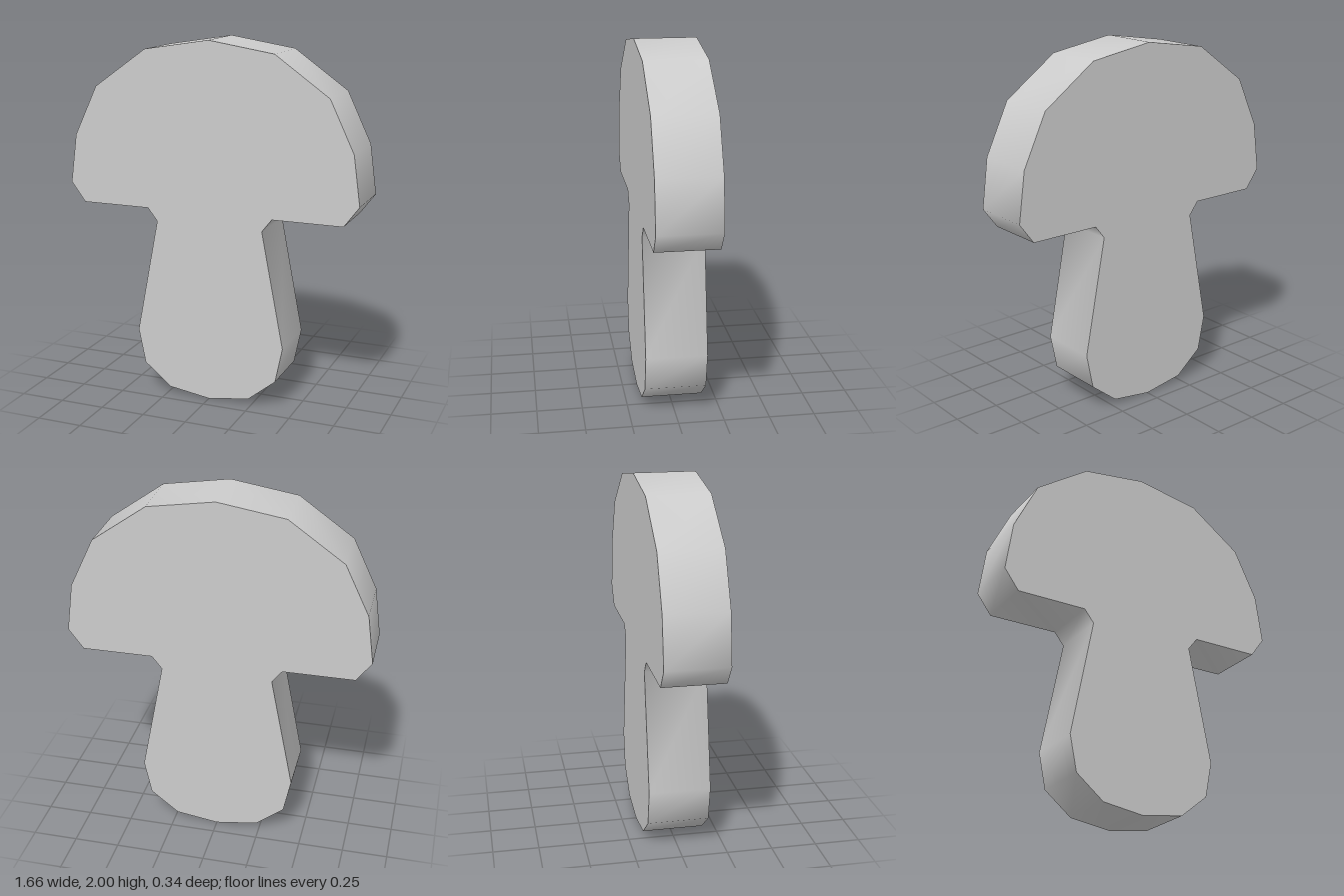
import * as THREE from 'three';
import { toCreasedNormals } from 'three/addons/utils/BufferGeometryUtils.js';

const DEPTH = 0.335;

// Right half of the mushroom outline, from the foot of the stem to the top of the cap
const HALF = [
  [0, 0.005], [0.235, 0.04], [0.39, 0.165], [0.43, 0.36], // rounded stem base
  [0.305, 1.005], [0.36, 1.075],                          // neck
  [0.75, 1.075], [0.832, 1.185], [0.795, 1.455],          // cap rim
  [0.663, 1.73], [0.365, 1.942], [0, 2],                  // cap dome
];

export function createModel() {
  const group = new THREE.Group();
  group.name = 'mushroom';

  // Mirror the half outline, skipping the two points on the axis
  const right = HALF.map(([x, y]) => new THREE.Vector2(x, y));
  const left = HALF.slice(1, -1).reverse().map(([x, y]) => new THREE.Vector2(-x, y));
  const outline = new THREE.Shape([...right, ...left]);

  // Flat faces with a smoothly shaded rim
  let geometry = new THREE.ExtrudeGeometry(outline, { depth: DEPTH, bevelEnabled: false });
  geometry.translate(0, 0, -DEPTH / 2);
  geometry = toCreasedNormals(geometry, 1.05);

  const body = new THREE.Mesh(geometry, new THREE.MeshStandardMaterial({ color: 0xcccccc }));
  body.name = 'mushroomBody';
  group.add(body);
  return group;
}
